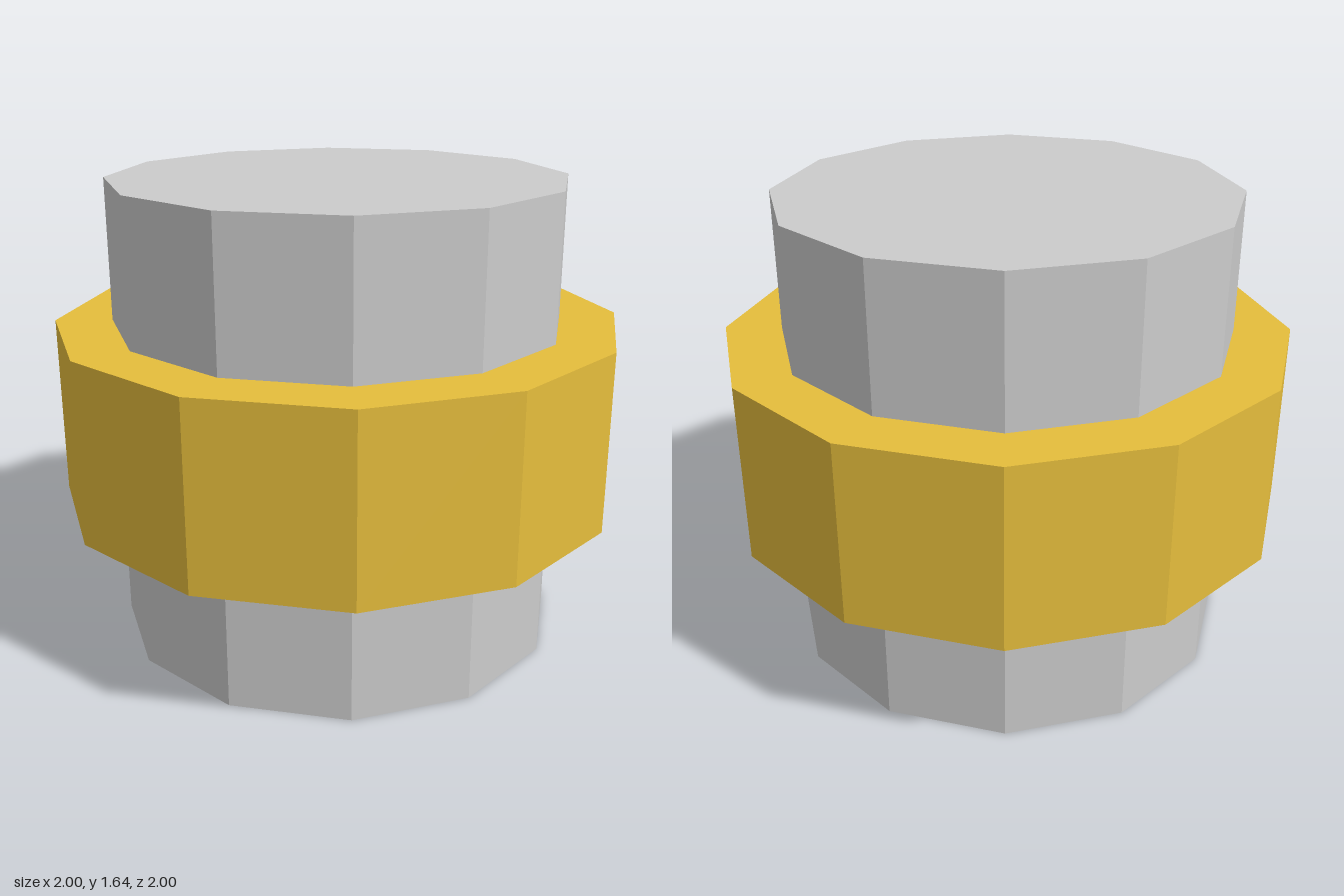
import * as THREE from 'three';

const SIDES = 12;

// Upright faceted drum from y0 to y1, with corners on the x and z axes
function drum(name, radius, y0, y1, color) {
  const geometry = new THREE.CylinderGeometry(radius, radius, y1 - y0, SIDES);
  const material = new THREE.MeshStandardMaterial({ color, flatShading: true });
  const mesh = new THREE.Mesh(geometry, material);
  mesh.name = name;
  mesh.position.y = (y0 + y1) / 2;
  return mesh;
}

export function createModel() {
  const model = new THREE.Group();
  model.name = 'bandedCylinder';

  // Grey core running the full height
  model.add(drum('core', 0.8, 0, 1.64, 0xcccccc));

  // Wider golden band around the middle
  model.add(drum('band', 1, 0.505, 1.14, 0xe5bd3c));

  return model;
}
